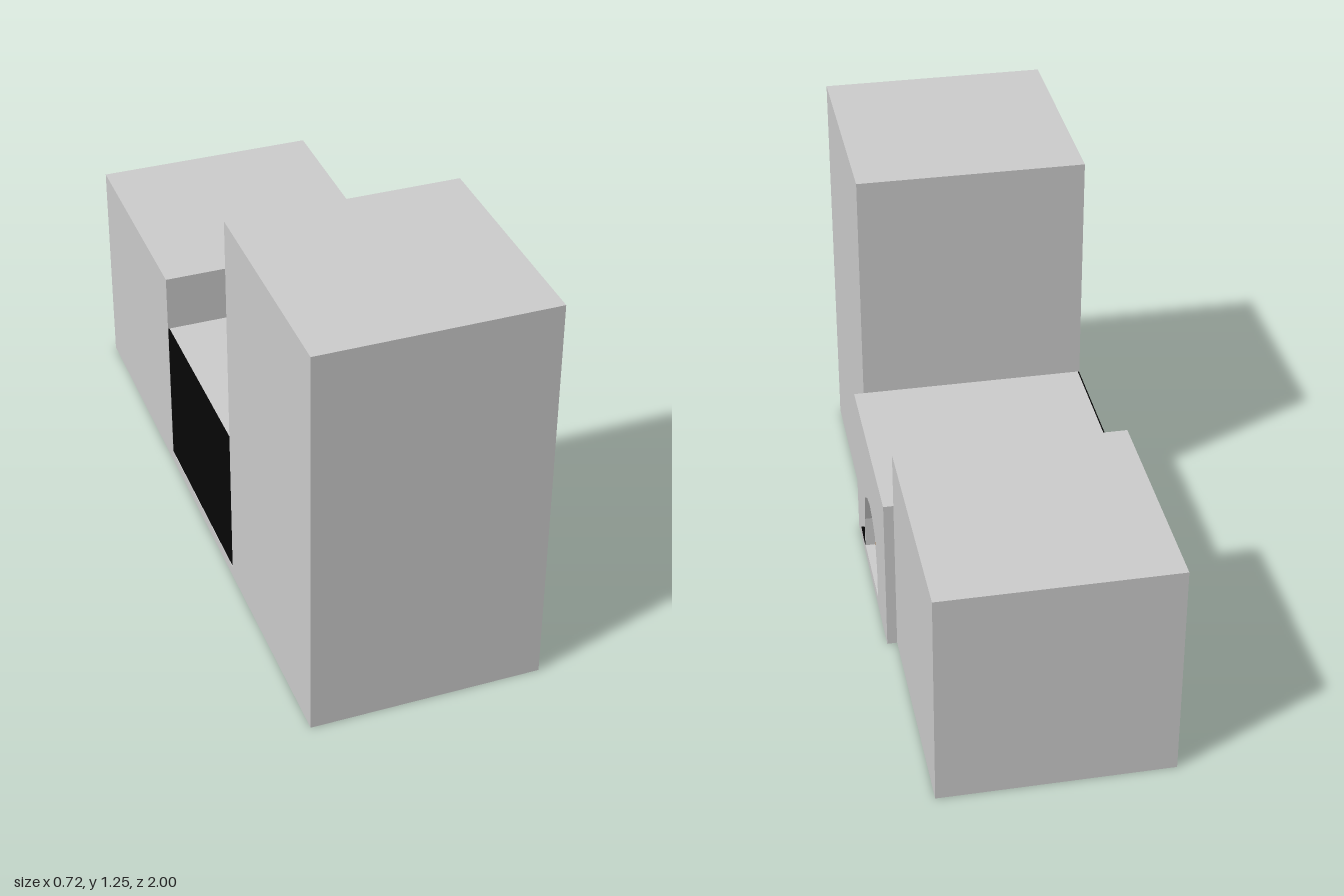
import * as THREE from 'three';

export function createModel() {
  const group = new THREE.Group();
  const grey = new THREE.MeshStandardMaterial({ color: 0xcccccc });
  grey.name = 'stone grey';
  const brown = new THREE.MeshStandardMaterial({ color: 0x95734f });
  brown.name = 'floor brown';
  const black = new THREE.MeshStandardMaterial({ color: 0x060606 });
  black.name = 'black';

  const add = (name, geometry, material) => {
    const mesh = new THREE.Mesh(geometry, material);
    mesh.name = name;
    group.add(mesh);
    return mesh;
  };
  // Box given by its lower and upper limits on each axis
  const block = (name, [x0, x1], [y0, y1], [z0, z1], material) =>
    add(name, new THREE.BoxGeometry(x1 - x0, y1 - y0, z1 - z0), material)
      .position.set((x0 + x1) / 2, (y0 + y1) / 2, (z0 + z1) / 2);

  const left = -0.363, wall = 0.33, front = 0.36;
  const roomZ = [-0.308, 0.308];

  // Two solid buildings at the ends
  block('tallBuilding', [left, wall], [0, 1.245], [0.308, 1], grey);
  block('lowBuilding', [left, wall], [0, 0.69], [-1, -0.308], grey);

  // Hollow room between them
  block('roomBase', [left, wall], [0, 0.033], roomZ, grey);
  block('roomFloor', [left + 0.006, wall], [0.033, 0.036], roomZ, brown);
  block('roomRoof', [left + 0.005, wall], [0.475, 0.51], roomZ, grey);
  block('rearWall', [left + 0.001, left + 0.005], [0.036, 0.51], roomZ, black);

  // Entrance panel with a faceted arch, drawn with shape x = -z
  const panel = new THREE.Shape([
    [-0.308, 0], [0.308, 0], [0.308, 0.51], [-0.308, 0.51],
  ].map(p => new THREE.Vector2(...p)));
  panel.holes.push(new THREE.Path([
    [-0.15, 0.036], [-0.15, 0.14], [-0.12, 0.245], [-0.067, 0.28], [-0.013, 0.293],
    [0.04, 0.28], [0.093, 0.245], [0.12, 0.14], [0.12, 0.036],
  ].map(p => new THREE.Vector2(...p))));
  const panelGeometry = new THREE.ExtrudeGeometry(panel, { depth: front - wall, bevelEnabled: false });
  panelGeometry.rotateY(Math.PI / 2).translate(wall, 0, 0);
  add('entrancePanel', panelGeometry, grey);

  // Small dark patch beside the arch
  const patch = new THREE.Shape([
    [-0.24, 0.045], [-0.2, 0.036], [-0.15, 0.036], [-0.15, 0.11],
  ].map(p => new THREE.Vector2(...p)));
  const patchGeometry = new THREE.ShapeGeometry(patch);
  patchGeometry.rotateY(Math.PI / 2).translate(front + 0.001, 0, 0);
  add('darkPatch', patchGeometry, black);

  return group;
}
